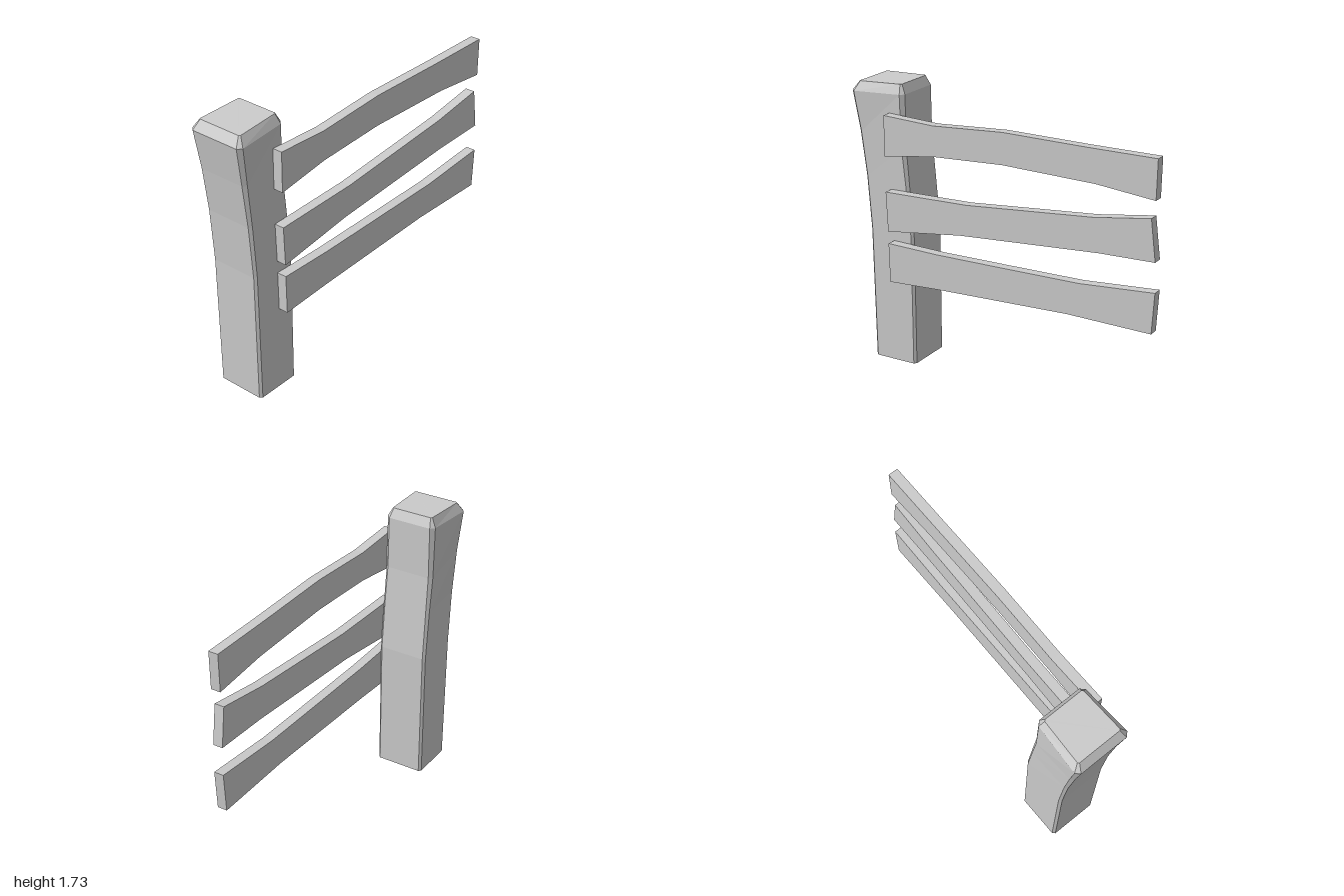
import * as THREE from 'three';

const material = new THREE.MeshStandardMaterial({ color: 0xcccccc, flatShading: true, side: THREE.DoubleSide });

// Post sections, bottom to top:
// [yLeft, yRight, xLeft, xRight, frontLeft z, frontRight z, backLeft z, backRight z, bevel]
const SECTIONS = [
  [0, 0, -0.89, -0.6, 0.137, 0.137, -0.172, -0.172, 0.014],
  [0.82, 0.82, -0.9, -0.6, 0.137, 0.135, -0.178, -0.176, 0.014],
  [1.15, 1.12, -0.925, -0.625, 0.137, 0.135, -0.18, -0.177, 0.016],
  [1.42, 1.35, -0.96, -0.645, 0.142, 0.135, -0.186, -0.18, 0.02],
  [1.66, 1.67, -1.0, -0.647, 0.156, 0.136, -0.2, -0.182, 0.024],
  [1.715, 1.725, -0.96, -0.675, 0.12, 0.107, -0.165, -0.154, 0.008],
];

// Eight points around a section: four corners, each cut by a bevel
function ringPoints([yl, yr, xl, xr, fl, fr, bl, br, c]) {
  return [
    [xl, yl, fl - c], [xl + c, yl, fl], [xr - c, yr, fr], [xr, yr, fr - c],
    [xr, yr, br + c], [xr - c, yr, br], [xl + c, yl, bl], [xl, yl, bl + c],
  ];
}

// Leaning post with a bevelled head, open underneath
function buildPost() {
  const rings = SECTIONS.map(ringPoints);
  const positions = [];
  for (let s = 0; s < rings.length - 1; s++) {
    const a = rings[s], b = rings[s + 1];
    for (let i = 0; i < 8; i++) {
      const j = (i + 1) % 8;
      positions.push(...a[i], ...a[j], ...b[j], ...a[i], ...b[j], ...b[i]);
    }
  }
  const cap = rings[rings.length - 1];
  for (let i = 1; i < 7; i++) positions.push(...cap[0], ...cap[i], ...cap[i + 1]);

  const geometry = new THREE.BufferGeometry();
  geometry.setAttribute('position', new THREE.Float32BufferAttribute(positions, 3));
  geometry.computeVertexNormals();
  const post = new THREE.Mesh(geometry, material);
  post.name = 'post';
  return post;
}

// Rail outlines: top edge left to right, then bottom edge right to left
const RAILS = {
  topRail: [
    [-0.74, 1.555], [-0.405, 1.54], [0.05, 1.568], [0.57, 1.562], [0.993, 1.562],
    [0.988, 1.33], [0.63, 1.365], [0.05, 1.38], [-0.405, 1.358], [-0.74, 1.31],
  ],
  middleRail: [
    [-0.74, 1.093], [-0.19, 1.105], [0.62, 1.175], [0.965, 1.228],
    [0.995, 0.984], [0.655, 0.975], [-0.23, 0.915], [-0.73, 0.85],
  ],
  bottomRail: [
    [-0.73, 0.775], [-0.39, 0.767], [0.05, 0.77], [0.54, 0.775], [1.0, 0.81],
    [0.985, 0.567], [0.465, 0.577], [-0.39, 0.55], [-0.725, 0.533],
  ],
};

// Uneven plank fixed to the front of the post
function buildRail(name, outline) {
  const shape = new THREE.Shape(outline.map(([x, y]) => new THREE.Vector2(x, y)));
  const geometry = new THREE.ExtrudeGeometry(shape, { depth: 0.06, bevelEnabled: false });
  geometry.translate(0, 0, 0.14);
  const rail = new THREE.Mesh(geometry, material);
  rail.name = name;
  return rail;
}

export function createModel() {
  const fence = new THREE.Group();
  fence.name = 'fenceSection';
  fence.add(buildPost());
  for (const [name, outline] of Object.entries(RAILS)) fence.add(buildRail(name, outline));
  return fence;
}
